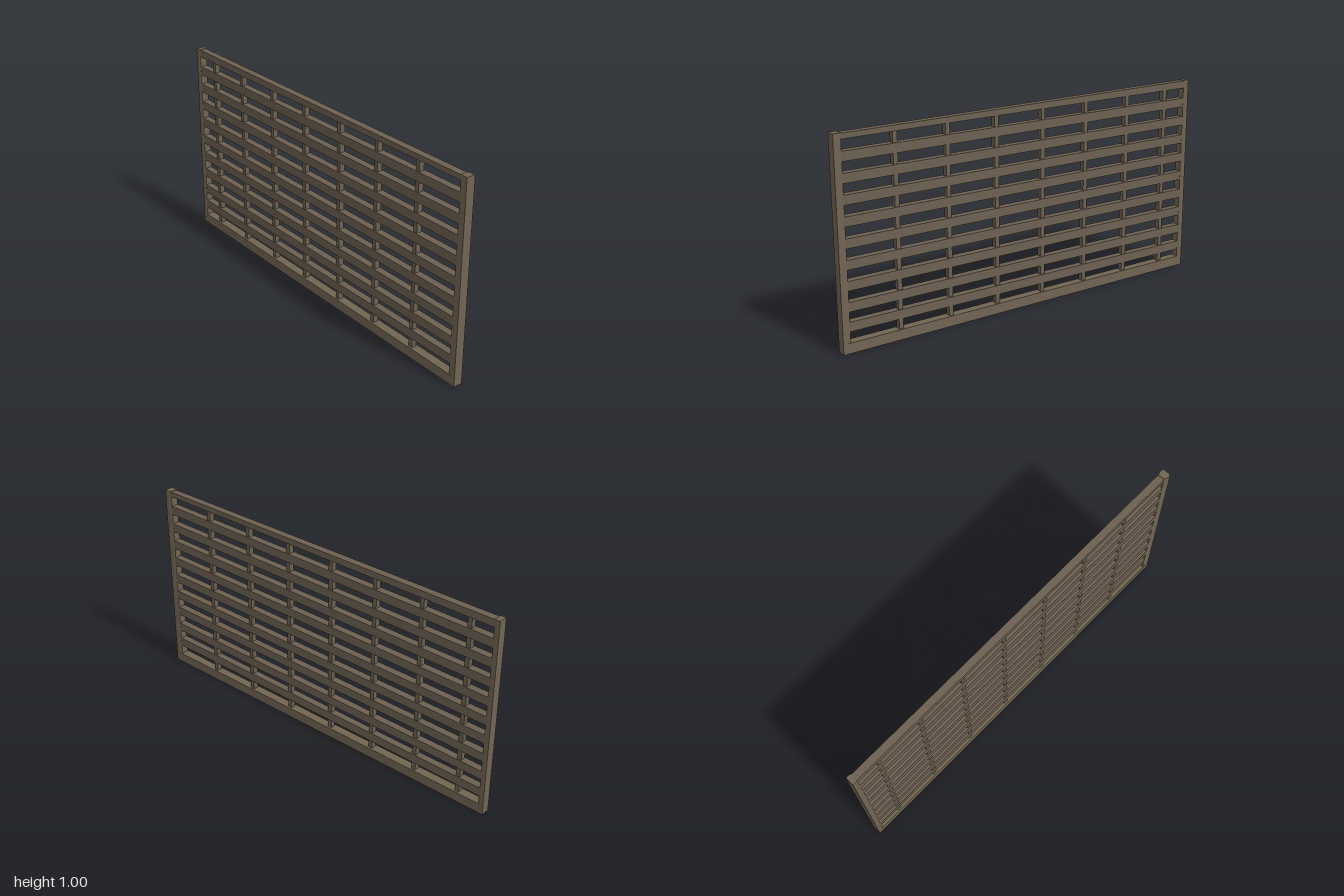
import * as THREE from 'three';

export function createModel() {
  const group = new THREE.Group();
  group.name = 'slattedFencePanel';
  const wood = new THREE.MeshStandardMaterial({ color: 0x6c6051 });
  wood.name = 'weathered wood';
  const frameWood = new THREE.MeshStandardMaterial({ color: 0x716452 });
  frameWood.name = 'frame wood';

  const add = (name, geometry, material) => {
    const mesh = new THREE.Mesh(geometry, material);
    mesh.name = name;
    group.add(mesh);
    return mesh;
  };

  // Long board whose lower and upper edges may differ at each end
  const board = (name, left, right, depth, material) => {
    const shape = new THREE.Shape([
      new THREE.Vector2(-0.975, left[0]), new THREE.Vector2(0.97, right[0]),
      new THREE.Vector2(0.97, right[1]), new THREE.Vector2(-0.975, left[1]),
    ]);
    const g = new THREE.ExtrudeGeometry(shape, { depth, bevelEnabled: false });
    g.translate(0, 0, -depth / 2);
    add(name, g, material);
  };

  // Slats, rising slightly towards the left of the panel
  const centres = [0.118, 0.211, 0.309, 0.406, 0.503, 0.602, 0.699, 0.795, 0.891];
  centres.forEach((y, i) => {
    const h = 0.0225, rise = 0.006;
    board('slat' + (i + 1), [y - rise - h, y - rise + h], [y + rise - h, y + rise + h], 0.036, wood);
  });
  board('topRail', [0.96, 0.997], [0.972, 0.997], 0.036, wood);

  // Bottom rail at the full depth of the frame
  const rail = add('bottomRail', new THREE.BoxGeometry(1.96, 0.05, 0.044), frameWood);
  rail.position.y = 0.025;

  // Upright battens, set back from the slat faces
  [-0.85, -0.603, -0.345, -0.088, 0.175, 0.437, 0.703].forEach((x, i) => {
    const batten = add('batten' + (i + 1), new THREE.BoxGeometry(0.022, 0.975, 0.026), wood);
    batten.position.set(x, 0.5, 0);
  });

  // End posts, square outside and tapering towards the panel
  for (const [name, side, inner] of [['leftPost', 1, 0.962], ['rightPost', -1, 0.972]]) {
    const pts = [[1, -0.0225], [1, 0.0225], [0.982, 0.0225], [inner, 0.0185], [inner, -0.0185], [0.982, -0.0225]]
      .map(([x, z]) => new THREE.Vector2(x * side, z));
    const g = new THREE.ExtrudeGeometry(new THREE.Shape(pts), { depth: 1, bevelEnabled: false });
    g.rotateX(-Math.PI / 2);
    add(name, g, frameWood);
  }
  return group;
}
